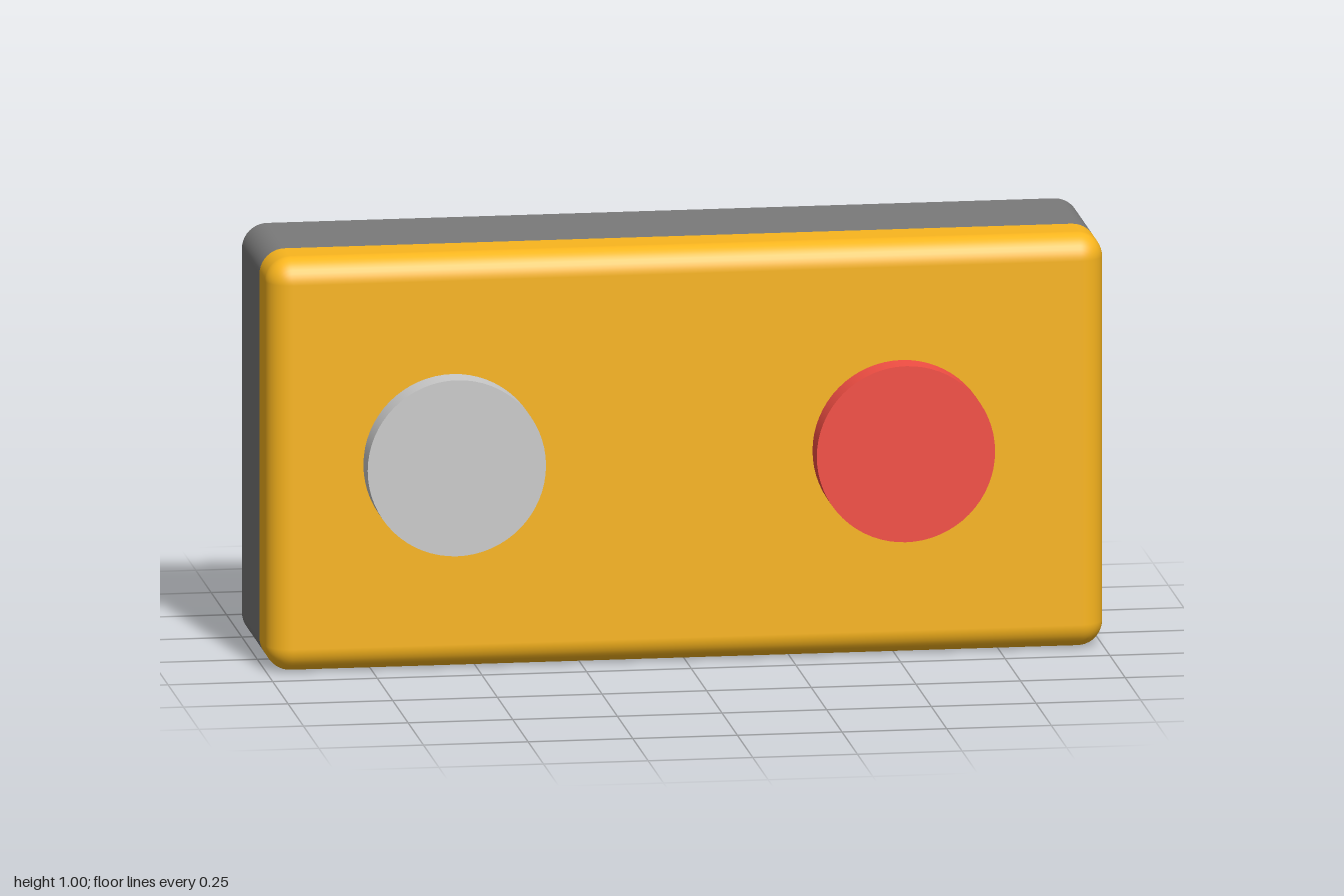
import * as THREE from 'three';

const R = 0.06, HALF_W = 1, HALF_H = 0.5, STEPS = 10;

// Slab with rounded upright corners; each section is [z, cornerRadius, normalTilt].
function roundedSlab(sections) {
  const pos = [], nor = [], idx = [];
  const count = 4 * (STEPS + 1);

  function addRing(z, radius, normalAt) {
    const start = pos.length / 3;
    for (let c = 0; c < 4; c++) {
      const sx = c === 0 || c === 3 ? 1 : -1;
      const sy = c < 2 ? 1 : -1;
      for (let i = 0; i <= STEPS; i++) {
        const a = (c + i / STEPS) * Math.PI / 2;
        pos.push(sx * (HALF_W - R) + radius * Math.cos(a),
          HALF_H + sy * (HALF_H - R) + radius * Math.sin(a), z);
        nor.push(...normalAt(a));
      }
    }
    return start;
  }

  // Sides and rounded edge
  const rings = sections.map(([z, radius, tilt]) => addRing(z, radius,
    a => [Math.cos(a) * Math.cos(tilt), Math.sin(a) * Math.cos(tilt), Math.sin(tilt)]));
  for (let k = 0; k + 1 < rings.length; k++) {
    for (let i = 0; i < count; i++) {
      const j = (i + 1) % count, a = rings[k], b = rings[k + 1];
      idx.push(a + i, a + j, b + j, a + i, b + j, b + i);
    }
  }

  // Flat ends
  for (const dir of [-1, 1]) {
    const [z, radius] = dir < 0 ? sections[0] : sections[sections.length - 1];
    const start = addRing(z, radius, () => [0, 0, dir]);
    const centre = pos.length / 3;
    pos.push(0, HALF_H, z);
    nor.push(0, 0, dir);
    for (let i = 0; i < count; i++) {
      const j = (i + 1) % count;
      if (dir > 0) idx.push(centre, start + i, start + j);
      else idx.push(centre, start + j, start + i);
    }
  }

  const geo = new THREE.BufferGeometry();
  geo.setAttribute('position', new THREE.Float32BufferAttribute(pos, 3));
  geo.setAttribute('normal', new THREE.Float32BufferAttribute(nor, 3));
  geo.setIndex(idx);
  return geo;
}

export function createModel() {
  const model = new THREE.Group();
  const add = (name, geometry, color) => {
    const mesh = new THREE.Mesh(geometry, new THREE.MeshStandardMaterial({ color }));
    mesh.name = name;
    model.add(mesh);
    return mesh;
  };

  // Back housing with square rear edge
  add('backHousing', roundedSlab([[-0.25, R, 0], [0.035, R, 0]]), 0x7a7a7a);

  // Front cover with a quarter-round front edge
  const cover = [[0.035, R, 0]];
  for (let i = 0; i <= STEPS; i++) {
    const t = i / STEPS * Math.PI / 2;
    cover.push([0.18 - R + R * Math.sin(t), R * Math.cos(t), t]);
  }
  add('frontCover', roundedSlab(cover), 0xfab61e);

  // Round push buttons
  for (const [name, x, color] of [['rightButton', -0.56, 0xcccccc], ['leftButton', 0.513, 0xf44f44]]) {
    const geometry = new THREE.CylinderGeometry(0.213, 0.213, 0.08, 64).rotateX(Math.PI / 2);
    add(name, geometry, color).position.set(x, 0.502, 0.21);
  }

  return model;
}
